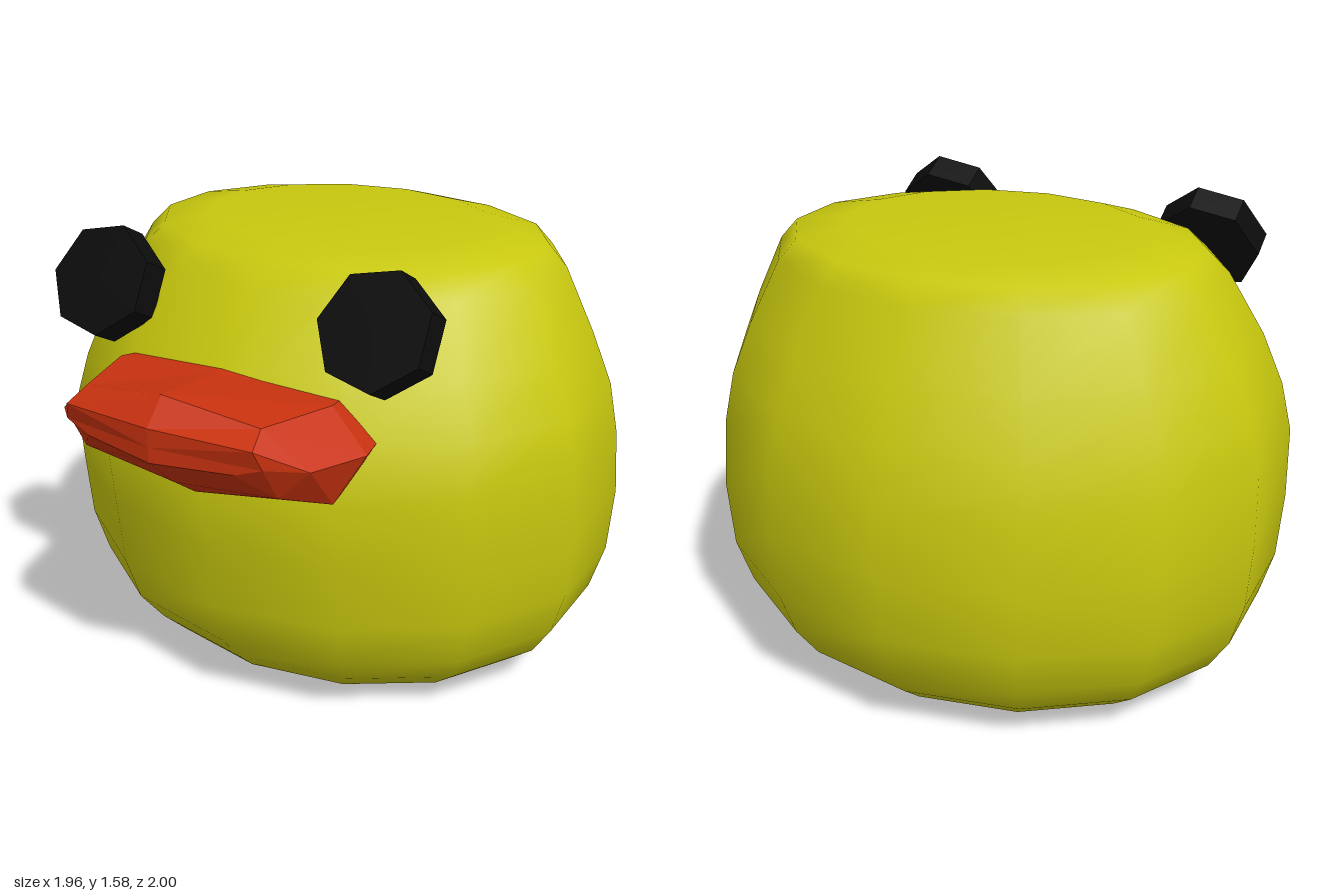
import * as THREE from 'three';

const paint = (color, flatShading = false) => {
  const m = new THREE.MeshStandardMaterial({ flatShading });
  m.color.set(color);
  return m;
};

// Skins a list of equal-length point rings and closes both ends with a fan.
function loft(rings, startCentre, endCentre) {
  const n = rings[0].length, last = (rings.length - 1) * n;
  const points = [...rings.flat(), startCentre, endCentre];
  const start = points.length - 2, end = points.length - 1;
  const index = [];
  for (let i = 0; i < n; i++) {
    const j = (i + 1) % n;
    for (let r = 0; r < last; r += n) {
      index.push(r + i, r + n + i, r + j, r + j, r + n + i, r + n + j);
    }
    index.push(start, i, j, end, last + j, last + i);
  }
  const geo = new THREE.BufferGeometry();
  geo.setAttribute('position', new THREE.Float32BufferAttribute(points.flat(), 3));
  geo.setIndex(index);
  geo.computeVertexNormals();
  return geo;
}

// Rounded fourteen-sided body: [height, half width, back z, front z]
function bodyGeometry() {
  const sections = [
    [0.02, 0.53, -0.60, 0.29],
    [0.065, 0.75, -0.76, 0.50],
    [0.145, 0.85, -0.85, 0.58],
    [0.26, 0.92, -0.93, 0.67],
    [0.42, 0.965, -0.985, 0.72],
    [0.65, 0.98, -1.0, 0.74],
    [0.88, 0.97, -0.98, 0.77],
    [1.05, 0.935, -0.93, 0.70],
    [1.22, 0.865, -0.86, 0.62],
    [1.43, 0.755, -0.75, 0.45],
    [1.5, 0.69, -0.69, 0.37],
    [1.535, 0.50, -0.57, 0.27],
  ];
  const sides = 14, widest = Math.sin(6 * Math.PI / sides);
  const rings = sections.map(([y, w, back, front]) =>
    Array.from({ length: sides }, (_, i) => {
      const a = (i / sides) * Math.PI * 2;
      return [Math.sin(a) * w / widest, y, (back + front) / 2 - Math.cos(a) * (front - back) / 2];
    }));
  return loft(rings, [0, 0, -0.14], [0, 1.545, -0.14]);
}

// Faceted beak: each half section runs from top centre to bottom centre, then is mirrored
function beakGeometry() {
  const halves = [
    [[0, 1.22, 0.62], [0.38, 1.17, 0.5], [0.5, 1.06, 0.5], [0.43, 0.92, 0.55], [0, 0.88, 0.6]],
    [[0, 1.22, 0.66], [0.4, 1.185, 0.62], [0.53, 1.06, 0.64], [0.45, 0.905, 0.7], [0, 0.865, 0.78]],
    [[0, 1.24, 0.92], [0.32, 1.19, 0.88], [0.46, 1.07, 0.84], [0.36, 0.97, 0.86], [0, 0.94, 0.88]],
    [[0, 1.16, 0.995], [0.34, 1.15, 0.955], [0.36, 1.09, 0.935], [0.27, 1.06, 0.95], [0, 1.05, 0.995]],
  ];
  const rings = halves.map((h) => [...h, ...h.slice(1, 4).reverse().map(([x, y, z]) => [-x, y, z])]);
  return loft(rings, [0, 1.05, 0.55], [0, 1.1, 0.995]);
}

export function createModel() {
  const model = new THREE.Group();
  const add = (name, geometry, material) => {
    const mesh = new THREE.Mesh(geometry, material);
    mesh.name = name;
    model.add(mesh);
    return mesh;
  };

  add('body', bodyGeometry(), paint(0xc8c80f));
  add('beak', beakGeometry(), paint(0xc8320f, true));

  // Seven-sided eye discs leaning back against the brow, with a corner towards -x
  const disc = new THREE.CylinderGeometry(0.19, 0.19, 0.105, 7);
  disc.rotateY(-Math.PI / 2);
  disc.rotateX(Math.atan2(0.88, 0.475));
  const black = paint(0x0c0c0c, true);
  add('leftEye', disc, black).position.set(0.49, 1.39, 0.5);
  add('rightEye', disc, black).position.set(-0.535, 1.378, 0.5);

  return model;
}
